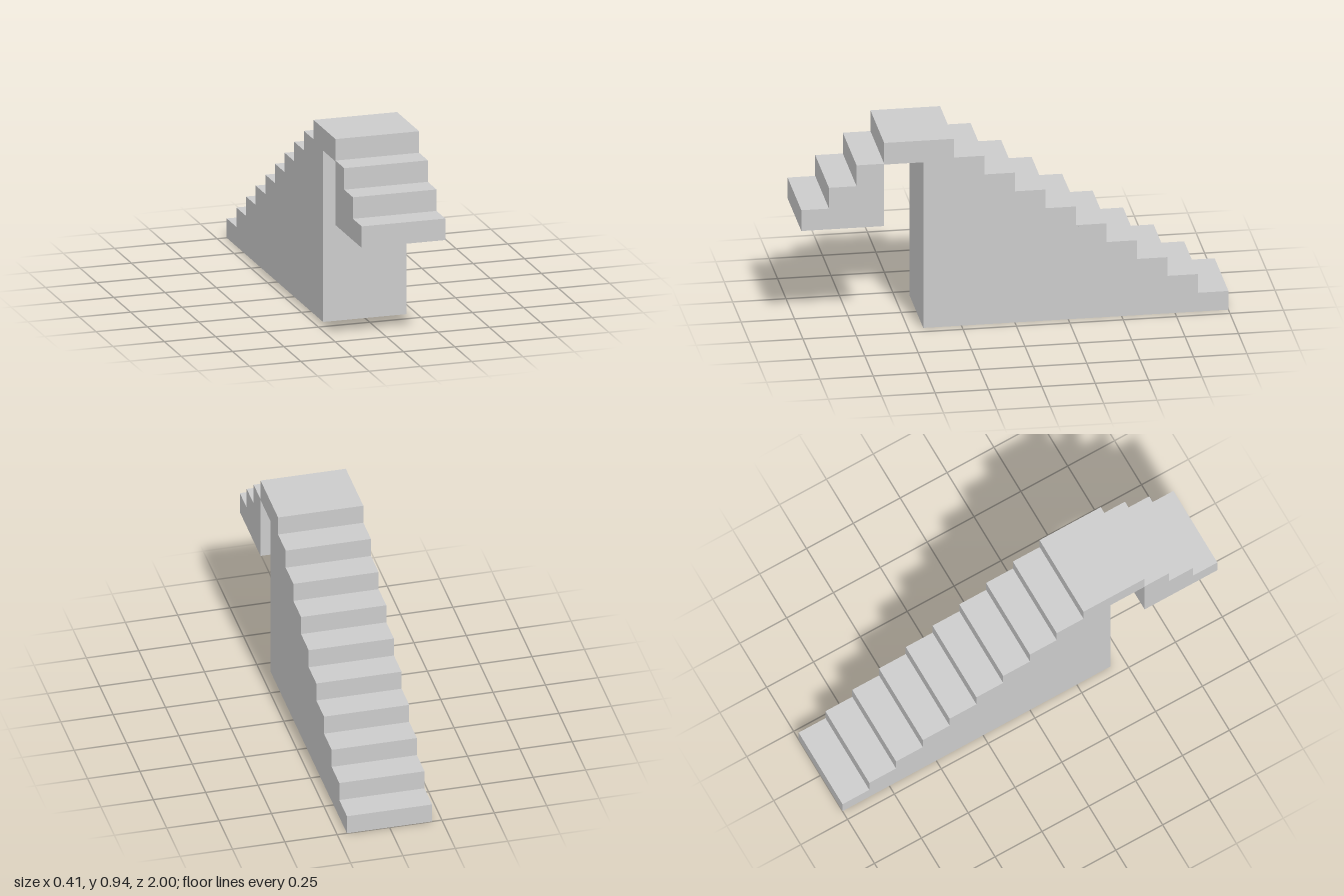
import * as THREE from 'three';

const WIDTH = 0.407;
const TOP = 0.935;

// Extrudes a side profile of [z, y] points across the stair's width
function profilePart(name, points, material) {
  const shape = new THREE.Shape(points.map(([z, y]) => new THREE.Vector2(z, y)));
  const geometry = new THREE.ExtrudeGeometry(shape, { depth: WIDTH, bevelEnabled: false });
  geometry.translate(0, 0, -WIDTH / 2);
  geometry.rotateY(-Math.PI / 2);
  const mesh = new THREE.Mesh(geometry, material);
  mesh.name = name;
  return mesh;
}

// Zigzag of risers and treads, starting at (z, y); run is signed
function steps(z, y, run, rise, count) {
  const points = [];
  for (let i = 0; i < count; i++) {
    points.push([z + i * run, y + i * rise], [z + i * run, y + (i + 1) * rise]);
  }
  return points;
}

export function createModel() {
  const group = new THREE.Group();
  group.name = 'staircase';
  const material = new THREE.MeshStandardMaterial({ color: 0xcccccc, flatShading: true });

  // Long solid flight of ten steps, its top tread carried on as a landing
  const landingEnd = 0.612;
  const landingUnderside = 0.827;
  const wallZ = 0.429;
  group.add(profilePart('mainFlightAndLanding', [
    ...steps(-1, 0, 1 / 7, TOP / 10, 10),
    [landingEnd, TOP],
    [landingEnd, landingUnderside],
    [wallZ, landingUnderside],
    [wallZ, 0],
  ], material));

  // Short raised flight of three steps in front of the landing
  const base = 0.52;
  group.add(profilePart('frontFlight', [
    ...steps(1, base, (landingEnd - 1) / 3, (TOP - base) / 4, 3),
    [landingEnd, base + (TOP - base) * 0.75],
    [landingEnd, base],
  ], material));

  return group;
}
